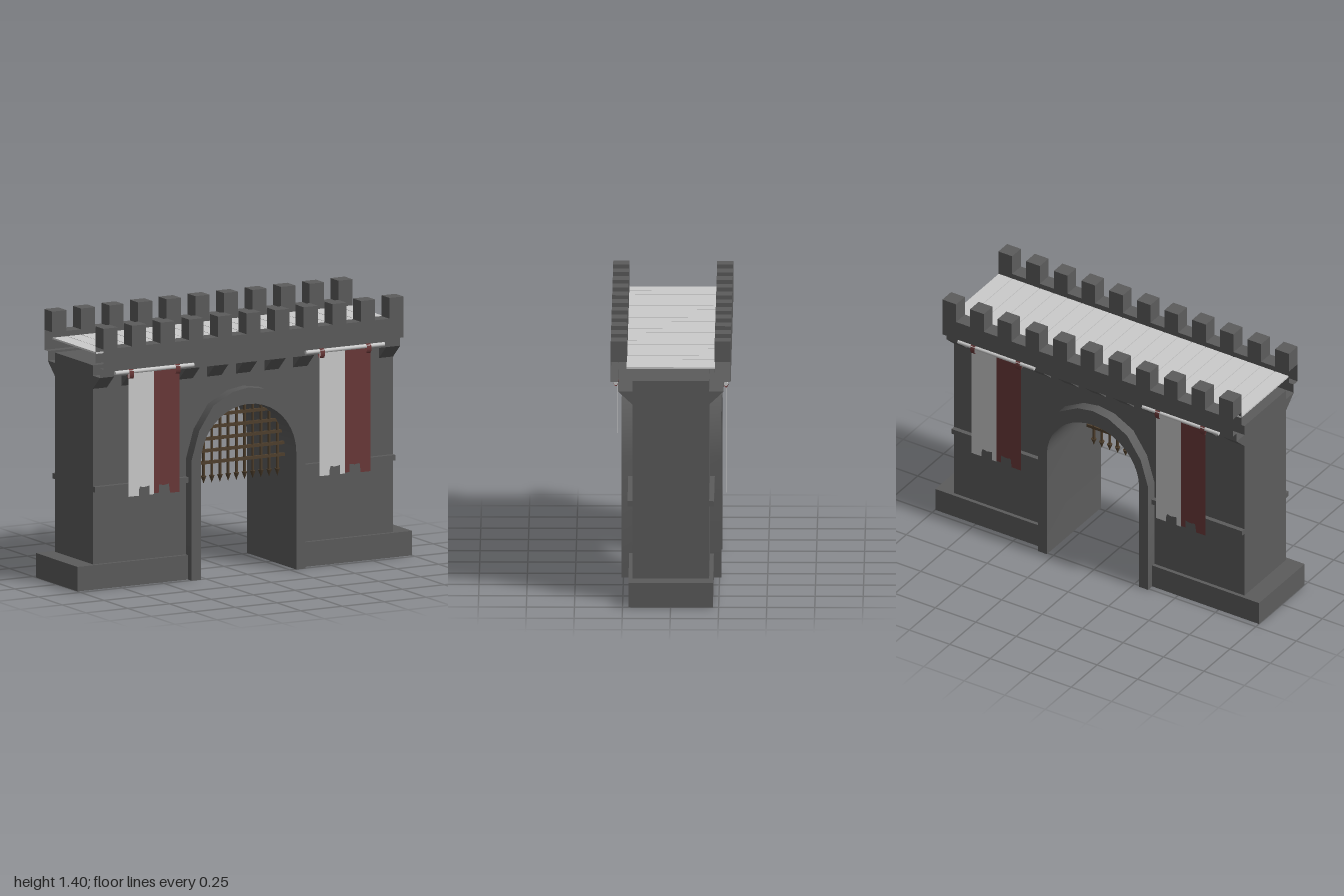
import * as THREE from 'three';
import { toCreasedNormals } from 'three/addons/utils/BufferGeometryUtils.js';

const mat = (name, color, side = THREE.FrontSide) =>
  Object.assign(new THREE.MeshStandardMaterial({ color, side }), { name });

export function createModel() {
  const stone = mat('stone', 0x5c5c5c);
  const stoneShell = mat('stone shell', 0x5c5c5c, THREE.DoubleSide);
  const pale = mat('pale wood', 0xcbcbcb);
  const paleCloth = mat('pale cloth', 0xcbcbcb, THREE.DoubleSide);
  const redCloth = mat('red cloth', 0x693838, THREE.DoubleSide);
  const wood = mat('brown gate', 0x50402d);

  const root = new THREE.Group();
  root.name = 'gatehouse';

  const add = (parent, name, geo, material, x = 0, y = 0, z = 0) => {
    const m = new THREE.Mesh(geo, material);
    m.name = name;
    m.position.set(x, y, z);
    parent.add(m);
    return m;
  };
  // Box given by its limits
  const box = (parent, name, material, x0, x1, y0, y1, z0, z1) =>
    add(parent, name, new THREE.BoxGeometry(x1 - x0, y1 - y0, z1 - z0), material,
      (x0 + x1) / 2, (y0 + y1) / 2, (z0 + z1) / 2);
  const shapeOf = pts => new THREE.Shape(pts.map(p => new THREE.Vector2(...p)));
  const extrude = (pts, depth) => {
    const g = new THREE.ExtrudeGeometry(shapeOf(pts), { depth, bevelEnabled: false });
    g.translate(0, 0, -depth / 2);
    return g;
  };
  const mirrored = half => [...half, ...half.filter(p => p[0] > 0).reverse().map(([x, y]) => [-x, y])];

  // Arch outlines, from the right foot over the crown to the left foot
  const R = 0.285, SPRING = 0.62;
  const inner = [[R, 0]];
  for (let i = 0; i <= 20; i++) {
    const a = Math.PI * i / 20;
    inner.push([R * Math.cos(a), SPRING + R * Math.sin(a)]);
  }
  inner.push([-R, 0]);
  const outer = mirrored([[0.34, 0], [0.34, 0.64], [0.295, 0.79], [0.21, 0.915], [0.095, 0.977], [0, 0.992]]);
  const hidden = inner.map(([x, y]) => [x * 1.08, y > 0 ? y + 0.02 : 0]);

  // Wall with gateway and protruding arch surround
  add(root, 'wall', extrude([[0.897, 0], [0.897, 1.185], [-0.897, 1.185], [-0.897, 0],
    ...hidden.slice().reverse()], 0.4), stone);
  add(root, 'archSurround', toCreasedNormals(
    extrude([...outer, ...inner.slice().reverse()], 0.52), 0.6), stone);

  // Plinths and string courses beside the arch
  for (const s of [-1, 1]) {
    const span = (a, b) => (s > 0 ? [a, b] : [-b, -a]);
    box(root, 'plinth', stone, ...span(0.3, 1), 0, 0.13, -0.22, 0.22);
    for (const t of [-1, 1])
      box(root, 'stringCourse', stone, ...span(0.33, 0.897), 0.514, 0.543,
        t > 0 ? 0.19 : -0.225, t > 0 ? 0.225 : -0.19);
  }

  // Walkway planks
  const pitch = 1.794 / 21;
  for (let i = 0; i < 21; i++) {
    const x = -0.897 + i * pitch;
    box(root, 'walkwayPlank', pale, x + 0.002, x + pitch - 0.002, 1.25, 1.259, -0.23, 0.23);
  }

  // Open-ended parapet swept along x from its section (z, y)
  const section = [[0.2, 1.13], [0.275, 1.13], [0.275, 1.18], [0.312, 1.18],
    [0.312, 1.287], [0.228, 1.287], [0.228, 1.2]];
  const pos = [];
  for (let i = 0; i < section.length - 1; i++) {
    const [za, ya] = section[i], [zb, yb] = section[i + 1], w = 0.897;
    pos.push(-w, ya, za, w, ya, za, w, yb, zb, -w, ya, za, w, yb, zb, -w, yb, zb);
  }
  const parapetGeo = new THREE.BufferGeometry();
  parapetGeo.setAttribute('position', new THREE.Float32BufferAttribute(pos, 3));
  parapetGeo.computeVertexNormals();

  const corbelGeo = extrude([[0.195, 1.06], [0.2, 1.06], [0.275, 1.13], [0.195, 1.13]], 0.085);
  corbelGeo.rotateY(-Math.PI / 2);

  // Ragged cloth halves, measured from the banner centre
  const paleHalf = new THREE.ShapeGeometry(shapeOf([[-0.153, 1.14], [-0.153, 0.487], [-0.092, 0.487],
    [-0.092, 0.512], [-0.085, 0.535], [-0.06, 0.53], [-0.028, 0.535], [-0.028, 0.487], [0, 0.487], [0, 1.14]]));
  const redHalf = new THREE.ShapeGeometry(shapeOf([[0, 1.14], [0, 0.492], [0.028, 0.492], [0.028, 0.535],
    [0.06, 0.53], [0.088, 0.535], [0.095, 0.485], [0.152, 0.485], [0.152, 1.14]]));
  const rodGeo = new THREE.CylinderGeometry(0.011, 0.011, 0.47, 12).rotateZ(Math.PI / 2);
  const loopGeo = new THREE.CylinderGeometry(0.013, 0.013, 0.027, 10, 1, true)
    .rotateZ(Math.PI / 2).scale(1, 2, 1);

  // Each face: parapet, merlons, corbels and two banners; the back is the front turned round
  for (const turn of [0, Math.PI]) {
    const face = new THREE.Group();
    face.name = turn ? 'backFace' : 'frontFace';
    face.rotation.y = turn;
    root.add(face);
    add(face, 'parapet', parapetGeo, stoneShell);
    for (let i = -5; i <= 5; i++) {
      const x = i * 0.171;
      box(face, 'merlon', stone, x - 0.0425, x + 0.0425, 1.287, 1.397, 0.228, 0.312);
      add(face, 'corbel', corbelGeo, stone, x);
    }
    for (const x of [-0.58, 0.56]) {
      const banner = new THREE.Group();
      banner.name = 'banner';
      banner.position.set(x, 0, 0.287);
      face.add(banner);
      add(banner, 'bannerRod', rodGeo, pale, 0, 1.15);
      add(banner, 'paleBannerHalf', paleHalf, paleCloth);
      add(banner, 'redBannerHalf', redHalf, redCloth);
      for (const lx of [-0.14, 0.138]) add(banner, 'bannerLoop', loopGeo, redCloth, lx, 1.138);
    }
  }

  // Raised portcullis, its bars cut to the arch
  const gate = new THREE.Group();
  gate.name = 'portcullis';
  gate.position.z = 0.13;
  root.add(gate);
  const spikeGeo = new THREE.ConeGeometry(0.015, 0.04, 6).rotateX(Math.PI);
  for (let i = -5; i <= 5; i++) {
    const x = i * 0.049;
    const top = SPRING + Math.sqrt(R * R - x * x);
    add(gate, 'gateBar', new THREE.CylinderGeometry(0.0075, 0.0075, top - 0.515, 6), wood, x, (top + 0.515) / 2);
    add(gate, 'gateSpike', spikeGeo, wood, x, 0.5);
  }
  for (let y = 0.59; y < 0.89; y += 0.0625) {
    const d = Math.max(0, y - SPRING);
    const w = Math.sqrt(R * R - d * d);
    box(gate, 'gateCrossbar', wood, -w, w, y - 0.008, y + 0.008, -0.008, 0.008);
  }
  return root;
}
